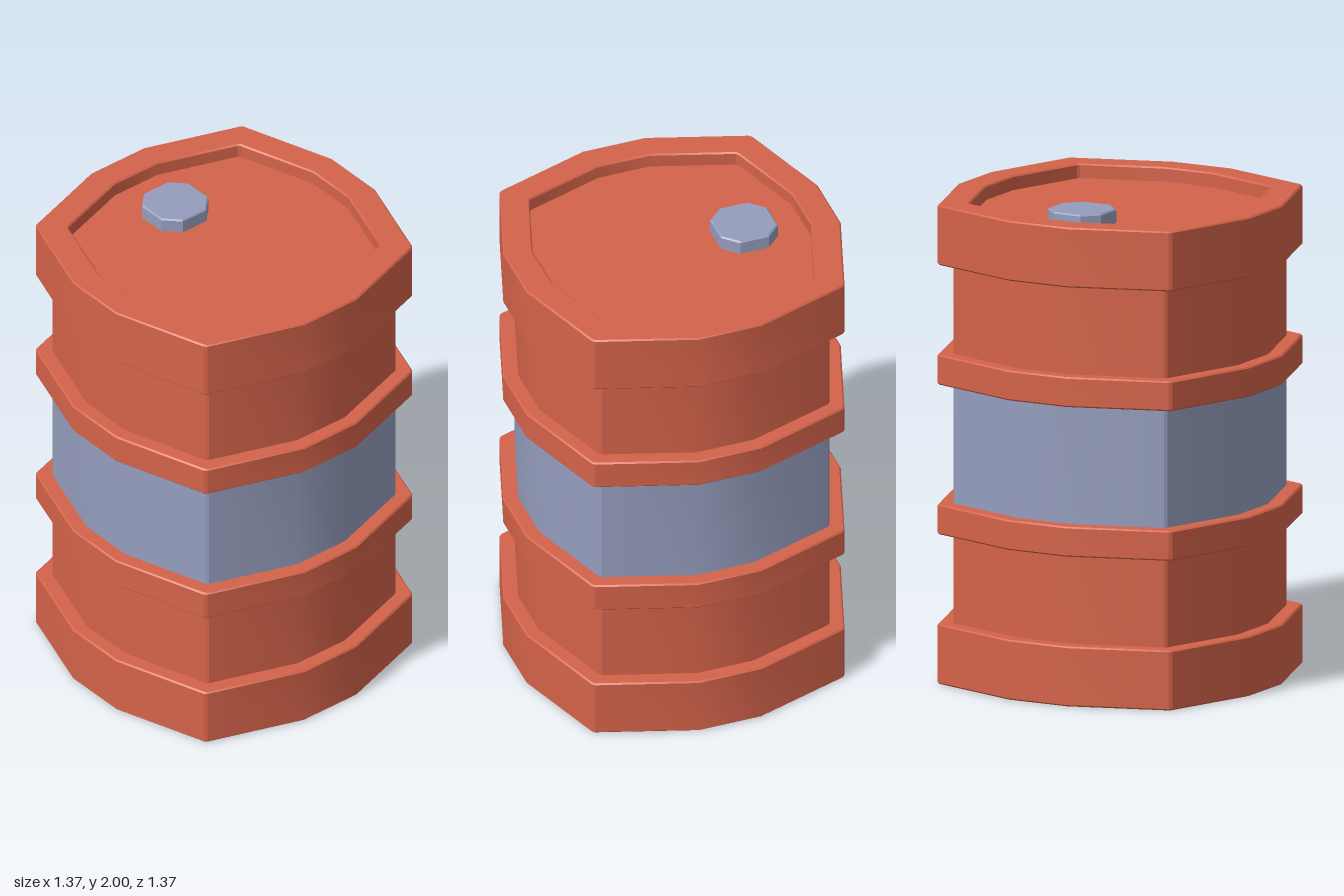
import * as THREE from 'three';
import { toCreasedNormals } from 'three/addons/utils/BufferGeometryUtils.js';

const red = new THREE.MeshStandardMaterial({ color: 0xd4634a });
red.name = 'barrel red';
const steel = new THREE.MeshStandardMaterial({ color: 0x959dbd });
steel.name = 'blue grey steel';

// Half outline of one quarter: bulged side with a tiny chamfer at the corner
const QUARTER = [[0.685, 0.137], [0.552, 0.54], [0.54, 0.552], [0.137, 0.685]];
const CAP_QUARTER = [[0.125, 0.0625], [0.0625, 0.125]];

// Turn a quarter outline into a closed loop, scaled
function outline(quarter, scale = 1) {
  const points = [];
  for (let q = 0; q < 4; q++) {
    for (const [x, y] of quarter) {
      points.push(new THREE.Vector2(x, y).multiplyScalar(scale)
        .rotateAround(new THREE.Vector2(), q * Math.PI / 2));
    }
  }
  return points;
}

// Upright slab between two heights, with an optional bevel and hole
function slab(name, material, points, y0, y1, bevel = 0, hole = null) {
  const shape = new THREE.Shape(points);
  if (hole) shape.holes.push(new THREE.Path(hole));
  const geometry = new THREE.ExtrudeGeometry(shape, {
    depth: y1 - y0 - 2 * bevel,
    bevelEnabled: bevel > 0,
    bevelThickness: bevel,
    bevelSize: bevel,
    bevelOffset: -bevel,
    bevelSegments: 1,
  });
  geometry.rotateX(-Math.PI / 2);
  geometry.translate(0, y0 + bevel, 0);
  // Smooth across each bulged side, sharp at the four corners
  const mesh = new THREE.Mesh(toCreasedNormals(geometry, THREE.MathUtils.degToRad(22)), material);
  mesh.name = name;
  return mesh;
}

export function createModel() {
  const group = new THREE.Group();
  group.name = 'barrel';

  const outer = outline(QUARTER);
  const body = outline(QUARTER, 0.912);
  const inner = outline(QUARTER, 0.825);
  const bevel = 0.006;

  // Body wall: red, grey, red
  group.add(
    slab('lowerBody', red, body, 0.2, 0.7),
    slab('middleBand', steel, body, 0.7, 1.3),
    slab('upperBody', red, body, 1.3, 1.8),
  );

  // Protruding hoops and base
  group.add(
    slab('baseRim', red, outer, 0, 0.25, bevel),
    slab('lowerHoop', red, outer, 0.625, 0.75, bevel),
    slab('upperHoop', red, outer, 1.25, 1.375, bevel),
  );

  // Open top rim with a sunken lid
  group.add(
    slab('topRim', red, outer, 1.75, 2, bevel, inner),
    slab('lid', red, inner, 1.85, 1.94),
  );

  // Octagonal filler cap
  const cap = slab('fillerCap', steel, outline(CAP_QUARTER), 1.93, 2, bevel);
  cap.position.x = -0.314;
  group.add(cap);

  return group;
}
